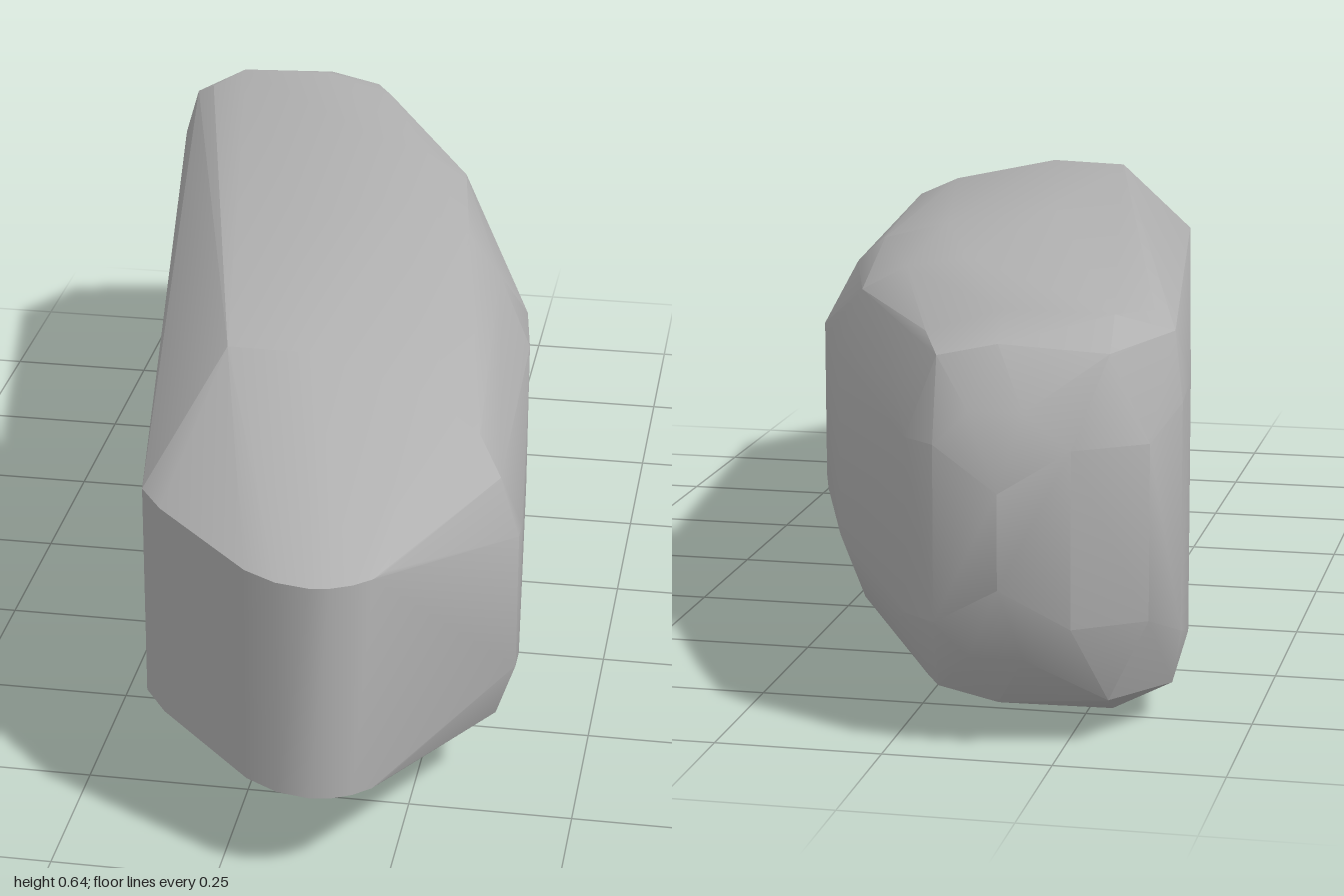
import * as THREE from 'three';
import { ConvexGeometry } from 'three/addons/geometries/ConvexGeometry.js';
import { toCreasedNormals } from 'three/addons/utils/BufferGeometryUtils.js';

const MID = 0.322; // height of the plane that mirrors top and bottom

// Each control point is [x, z, half height]
const nose = [
  [-0.16, 0.73], [-0.12, 0.79], [0.04, 0.96], [0.09, 0.99], [0.14, 1],
  [0.17, 0.995], [0.2, 0.98], [0.225, 0.957], [0.24, 0.93],
].map(([x, z]) => [x, z, 0.172]);

const shoulder = [
  [0.4, 0.67, 0.11], [0.4, 0.63, 0.11], [0.37, 0.66, 0.2], [0.33, 0.6, 0.24],
  [0.25, 0.56, 0.278], [0.06, 0.53, 0.322], [-0.07, 0.52, 0.319],
];

const middle = [
  [0.34, 0.02, 0.13], [0.32, -0.12, 0.13], [0.29, -0.22, 0.13],
  [0.28, -0.05, 0.225], [0.22, -0.1, 0.275], [0.1, -0.15, 0.312], [-0.05, 0, 0.317],
  [0.21, -0.44, 0.15], [0.17, -0.44, 0.25], [0.1, -0.44, 0.288], [0, -0.45, 0.309],
];

const tail = [
  [-0.4, -0.73, 0.19], [-0.4, -0.8, 0.17], [-0.38, -0.75, 0.265], [-0.345, -0.72, 0.288],
  [-0.3, -0.8, 0.295], [-0.14, -0.8, 0.297], [-0.02, -0.8, 0.26], [0.03, -0.8, 0.18],
  [-0.37, -0.9, 0.13], [-0.31, -0.89, 0.255], [-0.15, -0.9, 0.265], [-0.06, -0.9, 0.245],
  [-0.02, -0.93, 0.13], [-0.27, -0.97, 0.13], [-0.2, -0.965, 0.18], [-0.12, -0.965, 0.18],
  [-0.07, -0.97, 0.13], [-0.17, -1, 0.07],
];

export function createModel() {
  const group = new THREE.Group();
  group.name = 'curvedStone';
  const stone = new THREE.MeshStandardMaterial({ color: 0xb0b0b0 });
  stone.name = 'stone grey';

  // Mirror the control points top to bottom and wrap them in a convex skin
  const points = [...nose, ...shoulder, ...middle, ...tail].flatMap(([x, z, h]) => [
    new THREE.Vector3(x, MID + h, z),
    new THREE.Vector3(x, MID - h, z),
  ]);
  const body = new THREE.Mesh(toCreasedNormals(new ConvexGeometry(points), 0.5), stone);
  body.name = 'body';
  group.add(body);
  return group;
}
